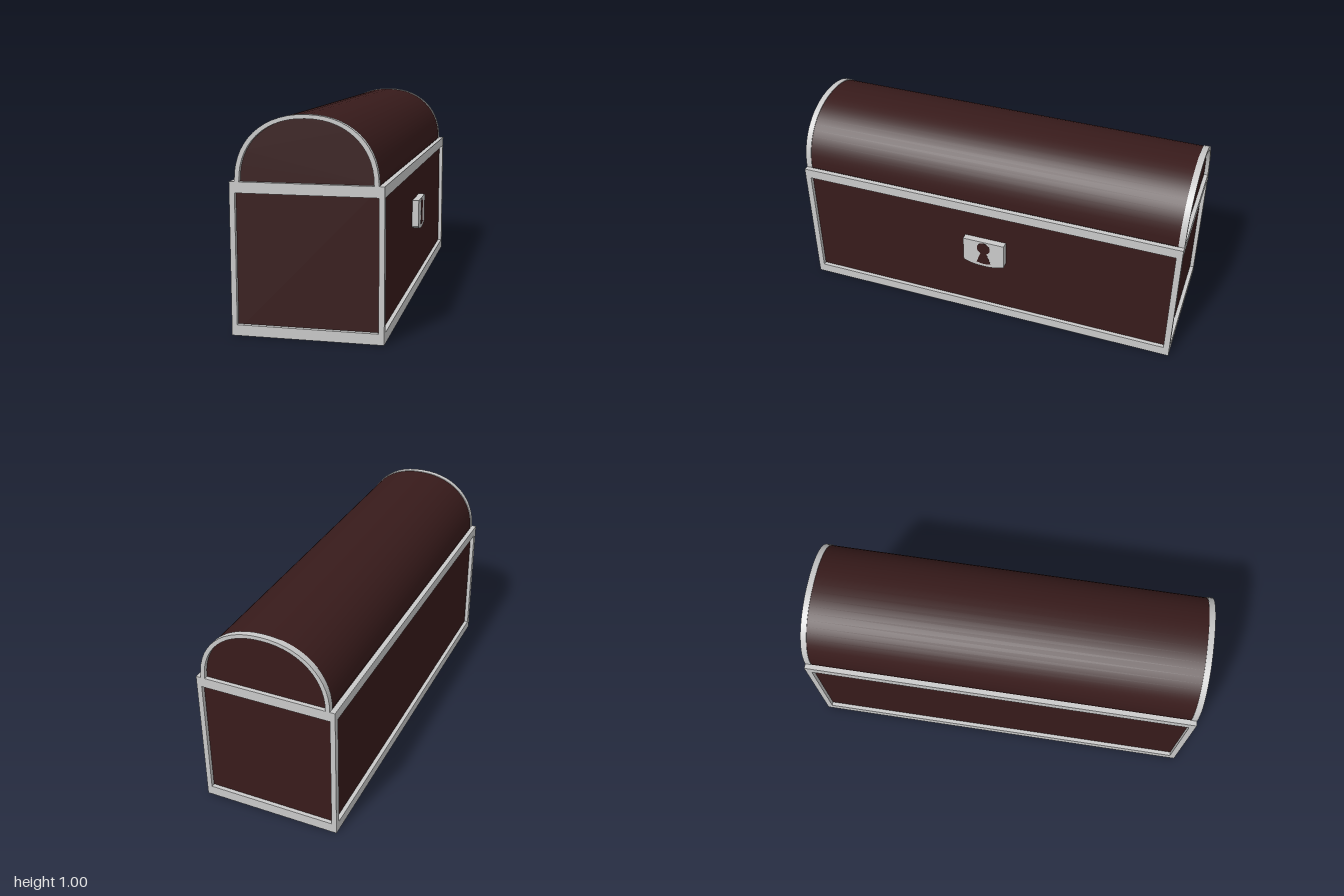
import * as THREE from 'three';
import { toCreasedNormals } from 'three/addons/utils/BufferGeometryUtils.js';

export function createModel() {
  const mat = (name, color) => new THREE.MeshStandardMaterial({ name, color });
  const metal = mat('grey metal', 0xcacaca);
  const wood = mat('dark wood', 0x381b1b);
  const red = mat('red floor', 0xc0432a);
  const orange = mat('orange floor', 0xe47508);
  const yellow = mat('yellow floor', 0xe89504);

  const model = new THREE.Group();
  model.name = 'chest';
  const chest = new THREE.Group();
  chest.name = 'chestBody';
  chest.position.x = -0.007; // the lock sticks out on +x
  model.add(chest);

  const add = (name, geometry, material, x = 0, y = 0, z = 0) => {
    const mesh = new THREE.Mesh(geometry, material);
    mesh.name = name;
    mesh.position.set(x, y, z);
    chest.add(mesh);
    return mesh;
  };
  const box = (name, material, w, h, d, x, y, z) =>
    add(name, new THREE.BoxGeometry(w, h, d), material, x, y, z);
  const extrude = (shape, depth) => toCreasedNormals(
    new THREE.ExtrudeGeometry(shape, { depth, curveSegments: 16, bevelEnabled: false }), 0.5);

  const HX = 0.348, HZ = 1, H = 0.7, RAIL = 0.05;
  const TX = 0.025, TZ = 0.03; // frame thickness along x and z

  // wooden body, set back behind the frame
  box('bodyPanels', wood, 2 * HX - 0.04, H - 0.02, 2 * HZ - 0.04, 0, H / 2 + 0.005, 0);

  // frame: posts and rails
  for (const s of [-1, 1]) {
    for (const t of [-1, 1]) {
      box('cornerPost', metal, TX, H - 2 * RAIL, TZ, s * (HX - TX / 2), H / 2, t * (HZ - TZ / 2));
    }
    for (const y of [RAIL / 2, H - RAIL / 2]) {
      box('sideRail', metal, TX, RAIL, 2 * HZ, s * (HX - TX / 2), y, 0);
      box('endRail', metal, 2 * (HX - TX), RAIL, TZ, 0, y, s * (HZ - TZ / 2));
    }
  }

  // three coloured floor plates
  const fx = HX - TX, fz = HZ - TZ, split = 0.02;
  box('redFloor', red, 2 * fx, 0.009, fz - split, 0, 0.0085, (fz + split) / 2);
  box('orangeFloor', orange, fx, 0.009, fz + split, fx / 2, 0.0085, (split - fz) / 2);
  box('yellowFloor', yellow, fx, 0.009, fz + split, -fx / 2, 0.0085, (split - fz) / 2);

  // points of a slightly squared arch, from +x over the top to -x
  const archPoints = (rx, ry, n = 28) => Array.from({ length: n + 1 }, (_, i) => {
    const a = Math.PI * i / n, c = Math.cos(a), s = Math.abs(Math.sin(a));
    return new THREE.Vector2(rx * Math.sign(c) * Math.abs(c) ** 0.92, ry * s ** 0.92);
  });

  // arched lid
  const lid = new THREE.Shape(archPoints(0.32, 0.298));
  add('lid', extrude(lid, 1.96), wood, 0, H - 0.001, -0.98);

  // metal arches on both lid ends
  const arch = new THREE.Shape([...archPoints(0.323, 0.3), ...archPoints(0.302, 0.282).reverse()]);
  for (const z of [-HZ, HZ - TZ]) add('lidArch', extrude(arch, TZ), metal, 0, H, z);

  // lock plate
  const plate = new THREE.Shape();
  plate.moveTo(-0.11, 0.487);
  plate.lineTo(-0.11, 0.35);
  plate.quadraticCurveTo(-0.07, 0.328, 0, 0.328);
  plate.quadraticCurveTo(0.07, 0.328, 0.11, 0.35);
  plate.lineTo(0.11, 0.487);
  plate.closePath();
  const lock = add('lockPlate', extrude(plate, 0.034), metal, HX - 0.0205);
  lock.rotation.y = Math.PI / 2;

  // keyhole, a thin dark plate on the lock
  const hole = new THREE.Shape();
  hole.absarc(0, 0.445, 0.035, -1.1, Math.PI + 1.1, false);
  hole.lineTo(-0.038, 0.352);
  hole.quadraticCurveTo(0, 0.338, 0.038, 0.352);
  hole.closePath();
  const keyhole = add('keyhole', extrude(hole, 0.002), wood, HX + 0.0125);
  keyhole.rotation.y = Math.PI / 2;

  return model;
}
